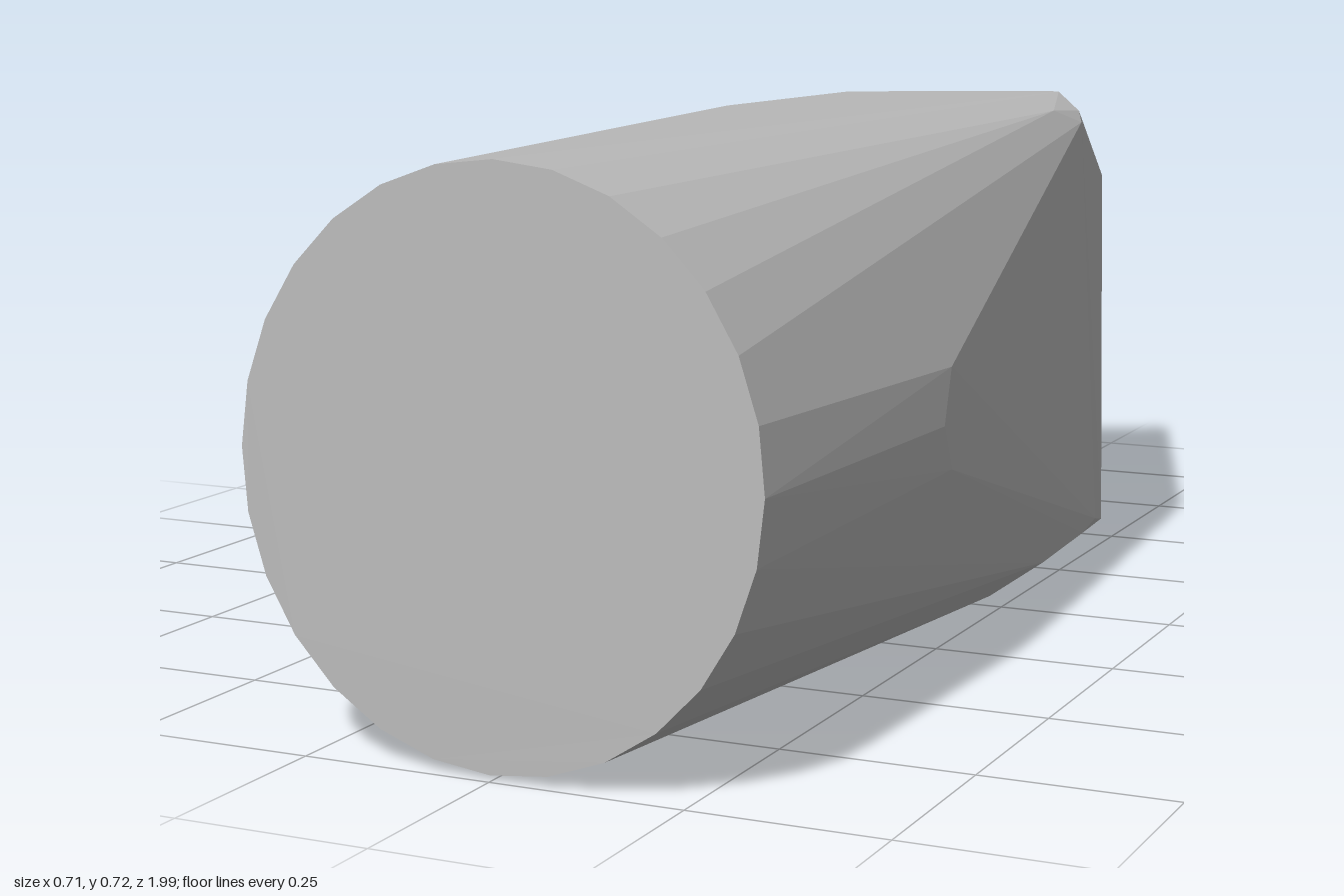
import * as THREE from 'three';
import { ConvexGeometry } from 'three/addons/geometries/ConvexGeometry.js';

export function createModel() {
  const group = new THREE.Group();
  const grey = new THREE.MeshStandardMaterial({ color: 0xb8b8b8, flatShading: true });
  grey.name = 'plain grey';
  const points = [];
  const add = (...list) => list.forEach((p) => points.push(new THREE.Vector3(...p)));

  // Round, slightly tilted front end
  const sides = 28;
  for (let i = 0; i < sides; i++) {
    const a = (i / sides) * Math.PI * 2;
    const x = -0.004 + 0.349 * Math.cos(a);
    const dy = 0.353 * Math.sin(a);
    add([x, 0.362 + dy, 0.975 + 0.035 * x - 0.045 * dy]);
  }

  // Slight swelling along the flanks
  add([0.358, 0.3, 0.47], [0.36, 0.36, 0.5], [0.357, 0.43, 0.47]);
  add([-0.352, 0.3, 0.5], [-0.354, 0.38, 0.5], [-0.349, 0.44, 0.45]);

  // Upper shoulder where the round body becomes faceted
  add([0.24, 0.725, -0.25], [0.275, 0.706, -0.13], [0.282, 0.7, -0.22], [0.293, 0.685, -0.2]);
  add([0.2, 0.72, -0.33], [-0.1, 0.705, -0.45]);
  add([-0.22, 0.697, -0.52], [-0.243, 0.685, -0.5], [-0.23, 0.701, -0.1], [-0.263, 0.67, -0.09]);

  // Lower shoulder
  add([0.322, 0.1, -0.2], [0.32, 0.088, -0.15], [0.305, 0.082, -0.28]);
  add([0.312, 0.075, 0], [0.27, 0.045, 0.1], [0.23, 0.03, 0.17]);
  add([0.04, 0.012, -0.38], [-0.2, 0.004, -0.52], [-0.212, 0.01, -0.5]);

  // Blunt corner beside the tip
  add([-0.19, 0.595, -0.8], [-0.212, 0.61, -0.76], [-0.218, 0.625, -0.71]);
  add([-0.19, 0.11, -0.8], [-0.212, 0.09, -0.76], [-0.218, 0.078, -0.71]);

  // Upright edge at the tip
  for (const y of [0.195, 0.53]) add([0.035, y, -1], [0.06, y, -0.995]);

  const body = new THREE.Mesh(new ConvexGeometry(points), grey);
  body.name = 'pointedBody';
  group.add(body);
  return group;
}
